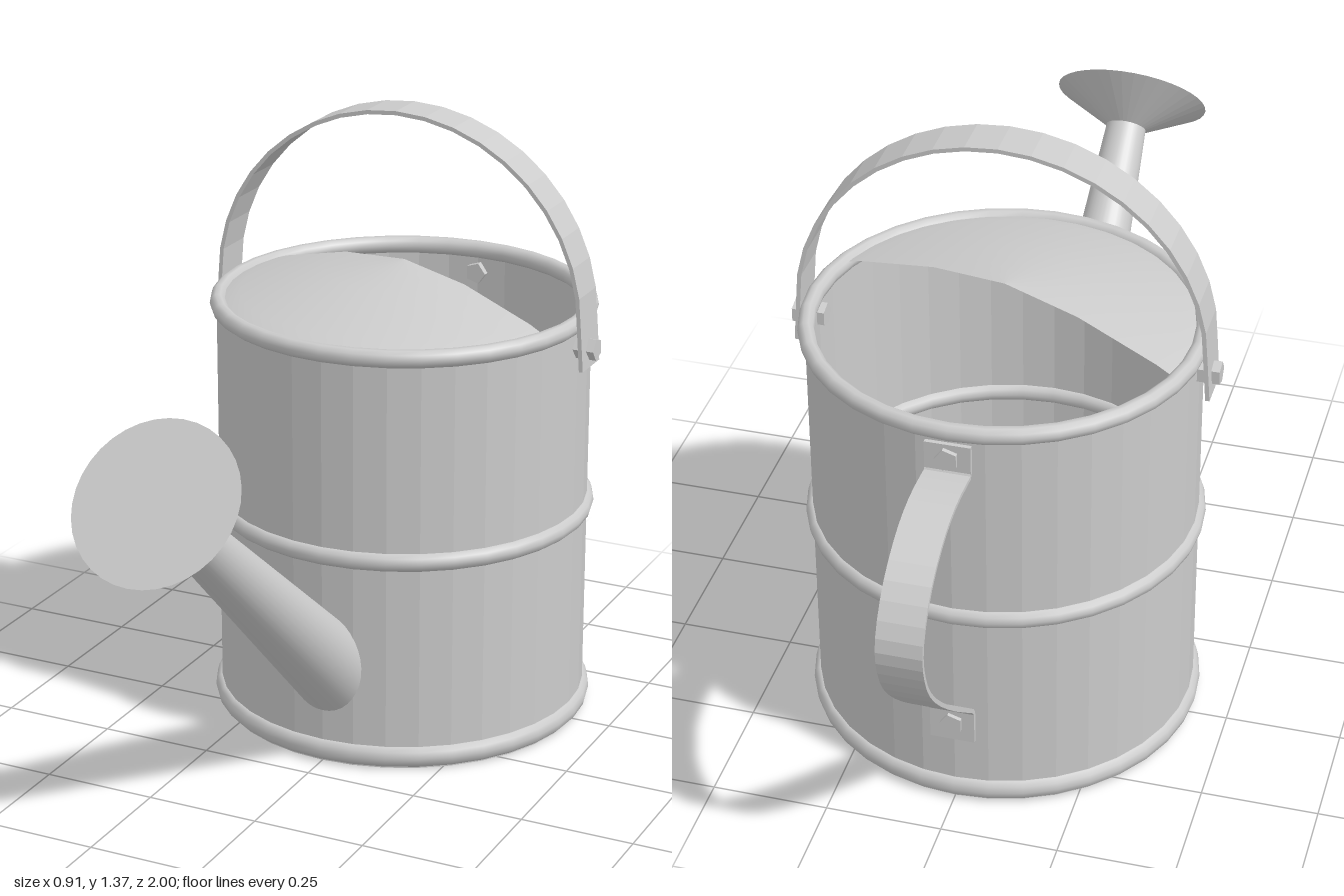
import * as THREE from 'three';

const metal = new THREE.MeshStandardMaterial({ color: 0xcccccc, flatShading: true, side: THREE.DoubleSide });
const smooth = new THREE.MeshStandardMaterial({ color: 0xcccccc, side: THREE.DoubleSide });
const V2 = (x, y) => new THREE.Vector2(x, y);
const SIDES = 36, BODY_Z = -0.23, STRAP_WIDTH = 0.095;

function add(parent, name, geometry, material = metal) {
  const mesh = new THREE.Mesh(geometry, material);
  mesh.name = name;
  parent.add(mesh);
  return mesh;
}

// Sheet-metal strap: a centre line thickened in its plane, then extruded across its width.
function strapGeometry(points, thickness = 0.009) {
  const left = [], right = [];
  points.forEach((p, i) => {
    const a = points[Math.max(i - 1, 0)], b = points[Math.min(i + 1, points.length - 1)];
    const n = V2(a.y - b.y, b.x - a.x).normalize().multiplyScalar(thickness / 2);
    left.push(p.clone().add(n));
    right.unshift(p.clone().sub(n));
  });
  const geometry = new THREE.ExtrudeGeometry(new THREE.Shape([...left, ...right]), { depth: STRAP_WIDTH, bevelEnabled: false });
  return geometry.translate(0, 0, -STRAP_WIDTH / 2);
}

// Five-sided rivet along local x, passing through wall and strap.
function addRivet(parent, name, from, to, y) {
  const geometry = new THREE.CylinderGeometry(0.025, 0.025, to - from, 5);
  geometry.rotateZ(Math.PI / 2);
  add(parent, name, geometry).position.set((from + to) / 2, y, 0);
}

export function createModel() {
  const model = new THREE.Group();
  model.name = 'wateringCan';

  // Everything mounted on the can's upright axis
  const can = new THREE.Group();
  can.name = 'can';
  can.position.z = BODY_Z;
  model.add(can);

  // Thin-walled open body with floor
  const wall = [V2(0, 0.003), V2(0.41, 0.003), V2(0.41, 0.955), V2(0.402, 0.955), V2(0.402, 0.015), V2(0, 0.015)];
  add(can, 'body', new THREE.LatheGeometry(wall, SIDES));

  // Rolled hoops at foot, middle and rim
  [['footRing', 0.03, 1.35], ['middleRing', 0.485, 1.15], ['rimRing', 0.94, 1.1]].forEach(([name, y, stretch]) => {
    const ring = new THREE.TorusGeometry(0.407, 0.018, 10, SIDES);
    ring.rotateX(Math.PI / 2).scale(1, stretch, 1);
    add(can, name, ring, smooth).position.y = y;
  });

  // Shallow half dome over the front of the opening, turned slightly
  const dome = [V2(0.405, 0.945), V2(0.36, 0.962), V2(0.175, 1.01), V2(0, 1.03)];
  add(can, 'halfCover', new THREE.LatheGeometry(dome, SIDES / 2, -THREE.MathUtils.degToRad(107.5), Math.PI), smooth);

  // Carrying handle: semicircle with straight ends riveted to the sides
  const arch = [V2(0.437, 0.85)];
  for (let i = 0; i <= 20; i++) {
    const a = (i / 20) * Math.PI;
    arch.push(V2(0.43 * Math.cos(a), 0.945 + 0.422 * Math.sin(a)));
  }
  arch.push(V2(-0.437, 0.85));
  add(can, 'carryHandle', strapGeometry(arch));
  addRivet(can, 'handleRivetLeft', 0.385, 0.455, 0.89);
  addRivet(can, 'handleRivetRight', -0.455, -0.385, 0.89);

  // Rear grip, modelled with local x pointing backwards
  const rear = new THREE.Group();
  rear.name = 'rearGrip';
  rear.rotation.y = Math.PI / 2;
  can.add(rear);
  const grip = new THREE.SplineCurve([
    V2(0.425, 0.85), V2(0.52, 0.853), V2(0.61, 0.832), V2(0.70, 0.775), V2(0.756, 0.69),
    V2(0.753, 0.61), V2(0.705, 0.52), V2(0.59, 0.40), V2(0.43, 0.26),
  ]).getPoints(22);
  add(rear, 'gripStrap', strapGeometry([V2(0.419, 0.92), V2(0.419, 0.858), ...grip, V2(0.42, 0.245), V2(0.42, 0.17)]));
  addRivet(rear, 'gripRivetUpper', 0.385, 0.433, 0.888);
  addRivet(rear, 'gripRivetLower', 0.385, 0.433, 0.215);

  // Spout and rose share an axis: local y runs outwards, origin at the rose face
  const spout = new THREE.Group();
  spout.name = 'spoutAssembly';
  spout.position.set(0, 0.857, 0.885);
  spout.rotation.x = THREE.MathUtils.degToRad(49);
  model.add(spout);
  add(spout, 'spout', new THREE.CylinderGeometry(0.046, 0.092, 0.95, SIDES, 1, true), smooth).position.y = -0.545;
  add(spout, 'rose', new THREE.CylinderGeometry(0.175, 0.046, 0.075, SIDES, 1, true)).position.y = -0.0375;
  add(spout, 'roseFace', new THREE.CircleGeometry(0.175, SIDES).rotateX(-Math.PI / 2));

  return model;
}
